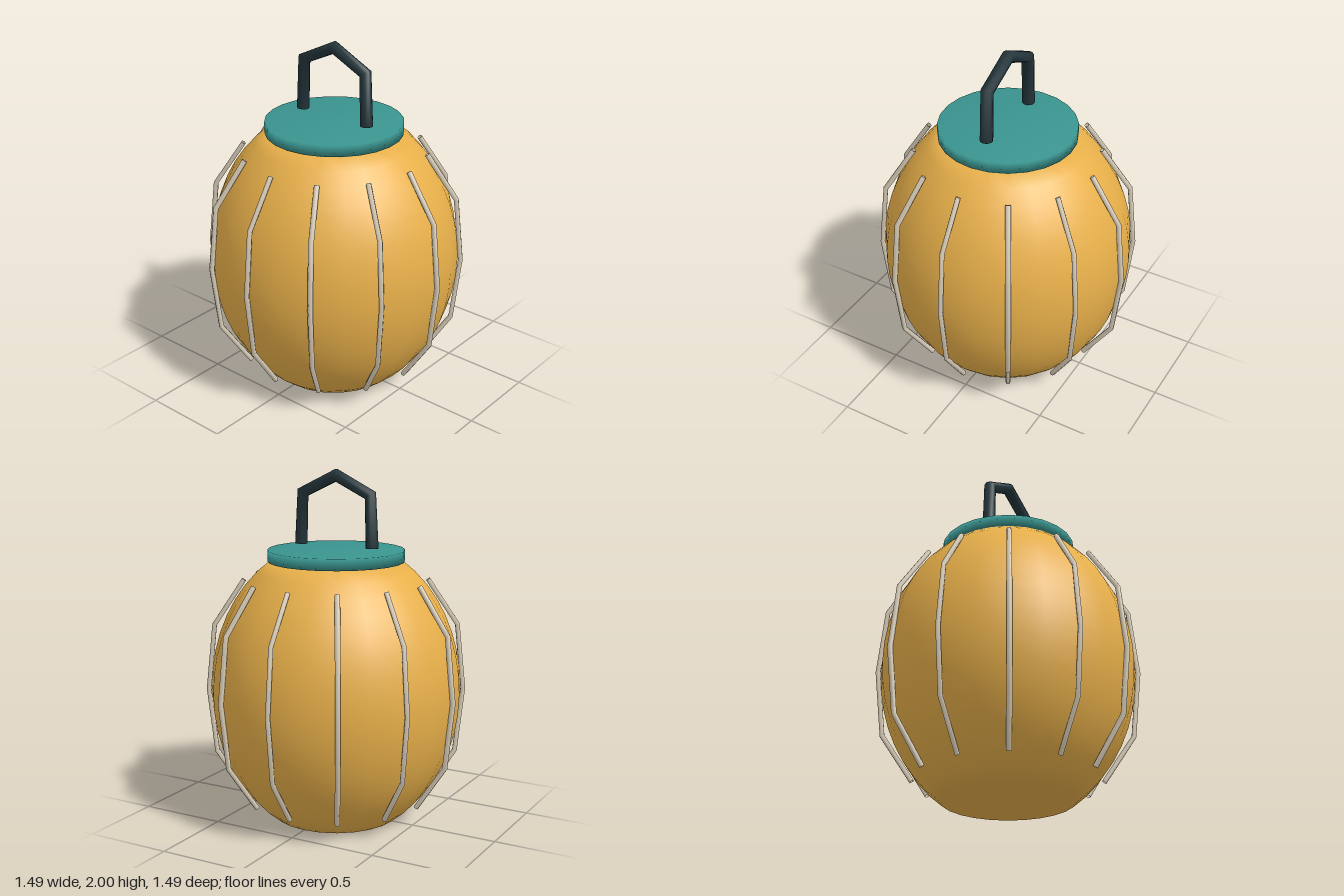
import * as THREE from 'three';

// Straight-sided path: one tube ring per corner, mitred at the bends
class Polyline extends THREE.Curve {
  constructor(points) {
    super();
    this.points = points.map(([x, y]) => new THREE.Vector3(x, y, 0));
  }
  getPointAt(u) {
    const s = u * (this.points.length - 1);
    const i = Math.min(Math.floor(s), this.points.length - 2);
    return this.points[i].clone().lerp(this.points[i + 1], s - i);
  }
  getPoint(t) { return this.getPointAt(t); }
  getTangentAt(u) {
    const p = this.points, last = p.length - 1, i = Math.round(u * last);
    const dir = (a, b) => p[b].clone().sub(p[a]).normalize();
    const tangent = new THREE.Vector3();
    if (i > 0) tangent.add(dir(i - 1, i));
    if (i < last) tangent.add(dir(i, i + 1));
    return tangent.normalize();
  }
}

const paint = (color) => new THREE.MeshStandardMaterial({ color, side: THREE.DoubleSide });

function part(name, geometry, material) {
  const mesh = new THREE.Mesh(geometry, material);
  mesh.name = name;
  return mesh;
}

const tube = (points, radius, sides) =>
  new THREE.TubeGeometry(new Polyline(points), points.length - 1, radius, sides);

const lathe = (points, segments) =>
  new THREE.LatheGeometry(points.map(([r, y]) => new THREE.Vector2(r, y)), segments);

export function createModel() {
  const model = new THREE.Group();

  // Ellipsoid shade, cut flat at the bottom and the top
  const middle = 0.745, radius = 0.715, halfHeight = 0.87;
  const cut = Math.asin(middle / halfHeight);
  const profile = [[0, 0]];
  for (let i = 0; i <= 16; i++) {
    const a = -cut + (2 * cut * i) / 16;
    profile.push([radius * Math.cos(a), middle + halfHeight * Math.sin(a)]);
  }
  profile.push([0, 2 * middle]);
  model.add(part('shade', lathe(profile, 24), paint(0xe8b04a)));

  // Lid disc
  const lid = [[0, 1.485], [0.387, 1.485], [0.387, 1.55], [0, 1.55]];
  model.add(part('lid', lathe(lid, 24), paint(0x3a948f)));

  // Twelve bent ribs around the shade
  const ribs = new THREE.Group();
  ribs.name = 'ribs';
  const ribGeometry = tube([[0.52, 0.11], [0.692, 0.37], [0.732, 0.745], [0.692, 1.12], [0.52, 1.38]], 0.015, 6);
  const ribMaterial = paint(0xd9cdb8);
  for (let i = 0; i < 12; i++) {
    const rib = part('rib', ribGeometry, ribMaterial);
    rib.rotation.y = (i * Math.PI) / 6;
    ribs.add(rib);
  }
  model.add(ribs);

  // Peaked carrying handle with closed feet
  const handle = new THREE.Group();
  handle.name = 'handle';
  const handleMaterial = paint(0x22343a);
  const bar = [[-0.228, 1.57], [-0.215, 1.86], [0, 1.963], [0.215, 1.86], [0.228, 1.57]];
  handle.add(part('handleBar', tube(bar, 0.036, 10), handleMaterial));
  for (const side of [-1, 1]) {
    const foot = part('handleFoot', new THREE.CircleGeometry(0.036, 10), handleMaterial);
    foot.rotation.x = Math.PI / 2;
    foot.position.set(side * 0.228, 1.57, 0);
    handle.add(foot);
  }
  model.add(handle);

  return model;
}
